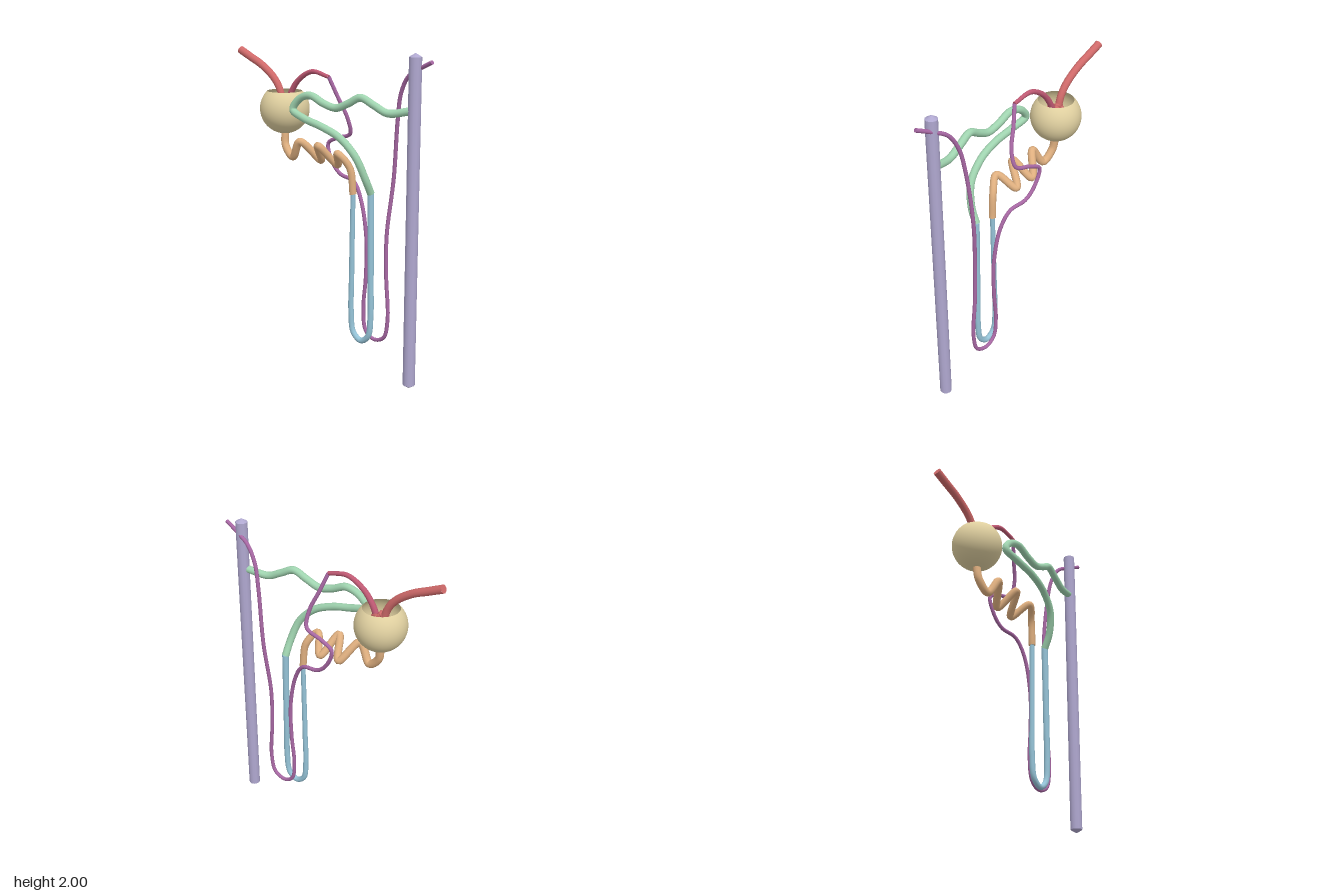
import * as THREE from 'three';

const mat = (color, side = THREE.FrontSide) => new THREE.MeshStandardMaterial({ color, side });

// Closed-off tube through points, its radius running evenly from r0 to r1
function tube(name, points, r0, r1, color, segments = 120, closed = false) {
  const group = new THREE.Group();
  group.name = name;
  const curve = new THREE.CatmullRomCurve3(points.map(p => new THREE.Vector3(...p)), closed);
  const sides = 12;
  const geo = new THREE.TubeGeometry(curve, segments, 1, sides, closed);
  const pos = geo.attributes.position, normal = geo.attributes.normal;
  const c = new THREE.Vector3(), n = new THREE.Vector3();
  for (let i = 0; i < pos.count; i++) {
    const t = Math.floor(i / (sides + 1)) / segments;
    curve.getPointAt(t, c);
    n.fromBufferAttribute(normal, i);
    c.addScaledVector(n, r0 + (r1 - r0) * t);
    pos.setXYZ(i, c.x, c.y, c.z);
  }
  geo.computeBoundingSphere();
  const body = new THREE.Mesh(geo, mat(color));
  body.name = name + 'Wall';
  group.add(body);
  if (!closed) {
    for (const [t, r, s] of [[0, r0, -1], [1, r1, 1]]) {
      const cap = new THREE.Mesh(new THREE.CircleGeometry(r, sides), body.material);
      cap.name = name + 'End';
      cap.position.copy(curve.getPointAt(t));
      cap.quaternion.setFromUnitVectors(new THREE.Vector3(0, 0, 1), curve.getTangentAt(t).multiplyScalar(s));
      group.add(cap);
    }
  }
  return group;
}

export function createModel() {
  const model = new THREE.Group();
  model.name = 'nephron';
  const red = 0xd06a6a, centre = [-0.365, 1.597, 0];

  // Open cup around the capillary knot
  const cup = new THREE.Mesh(
    new THREE.SphereGeometry(0.156, 48, 32, 0, Math.PI * 2, 0.78, Math.PI - 0.78),
    mat(0xe0d0a0, THREE.DoubleSide));
  cup.name = 'capsule';
  cup.position.set(...centre);
  model.add(cup);

  // Tangled capillary knot: points scattered over a small ball
  let seed = 11;
  const rand = () => (seed = (seed * 16807) % 2147483647) / 2147483647;
  const knot = [];
  for (let i = 0; i < 36; i++) {
    const a = rand() * Math.PI * 2, h = rand() * 2 - 1, w = Math.sqrt(1 - h * h);
    const r = 0.06 + 0.02 * rand();
    knot.push([centre[0] + r * w * Math.cos(a), centre[1] + r * h, r * w * Math.sin(a)]);
  }
  model.add(tube('capillaryKnot', knot, 0.012, 0.012, red, 400, true));

  // Vessels entering and leaving the cup
  model.add(tube('incomingVessel', [
    [-0.75, 1.94, 0], [-0.66, 1.9, 0], [-0.56, 1.855, 0], [-0.46, 1.785, 0],
    [-0.41, 1.72, 0], [-0.38, 1.63, 0]], 0.025, 0.022, red, 60));
  model.add(tube('outgoingVessel', [
    [-0.34, 1.63, 0], [-0.305, 1.71, 0], [-0.245, 1.785, 0], [-0.135, 1.843, 0],
    [0, 1.82, 0]], 0.02, 0.012, 0xc05a74, 60));

  // Thin vessel winding behind the tubules
  model.add(tube('windingVessel', [
    [0, 1.82, 0], [0.04, 1.71, -0.03], [0.095, 1.57, -0.065], [0.09, 1.475, -0.095],
    [-0.02, 1.435, -0.105], [-0.1, 1.39, -0.11], [-0.06, 1.275, -0.105], [0.01, 1.212, -0.1],
    [0.13, 1.185, -0.085], [0.2, 1.08, -0.07], [0.25, 0.85, -0.062], [0.25, 0.6, -0.06],
    [0.235, 0.4, -0.058], [0.255, 0.26, -0.056], [0.32, 0.215, -0.055], [0.4, 0.245, -0.053],
    [0.43, 0.37, -0.052], [0.412, 0.65, -0.055], [0.408, 0.9, -0.06], [0.435, 1.25, -0.085],
    [0.468, 1.6, -0.07], [0.5, 1.76, -0.055], [0.56, 1.86, -0.04], [0.65, 1.91, -0.02],
    [0.75, 1.955, 0]], 0.012, 0.012, 0xa868a4, 260));

  // Corkscrew tubule
  model.add(tube('coiledTubule', [
    [-0.365, 1.45, 0], [-0.352, 1.365, 0.01], [-0.28, 1.302, 0.02], [-0.2, 1.41, 0.04],
    [-0.105, 1.293, -0.045], [-0.04, 1.405, 0.055], [0.03, 1.282, -0.045],
    [0.11, 1.373, 0.045], [0.175, 1.29, 0.01], [0.194, 1.13, 0]], 0.025, 0.022, 0xe0b080, 180));

  // Long hairpin loop
  model.add(tube('hairpinLoop', [
    [0.194, 1.14, 0], [0.19, 0.9, 0], [0.186, 0.6, 0], [0.184, 0.38, 0], [0.202, 0.25, 0],
    [0.262, 0.207, 0], [0.32, 0.25, 0], [0.338, 0.38, 0], [0.336, 0.6, 0], [0.333, 0.9, 0],
    [0.33, 1.16, 0]], 0.015, 0.021, 0x96c4d8, 160));

  // Green tubule doubling back across the front to the duct
  model.add(tube('farTubule', [
    [0.33, 1.155, 0], [0.322, 1.25, 0.045], [0.28, 1.38, 0.085], [0.18, 1.482, 0.105],
    [0.05, 1.537, 0.117], [-0.1, 1.574, 0.115], [-0.203, 1.617, 0.1], [-0.155, 1.685, 0.092],
    [-0.065, 1.712, 0.092], [0.04, 1.672, 0.09], [0.13, 1.655, 0.085], [0.22, 1.69, 0.078],
    [0.3, 1.728, 0.066], [0.39, 1.69, 0.053], [0.48, 1.652, 0.04], [0.62, 1.675, 0.003]],
    0.023, 0.023, 0xa0d4b0, 200));

  // Upright collecting duct with pointed ends
  const profile = [[0, 0], [0.037, 0.022], [0.037, 0.022], [0.037, 1.978], [0.037, 1.978], [0, 2]];
  const duct = new THREE.Mesh(
    new THREE.LatheGeometry(profile.map(p => new THREE.Vector2(...p)), 12), mat(0xb0a8d0));
  duct.name = 'collectingDuct';
  duct.position.x = 0.637;
  model.add(duct);

  return model;
}
